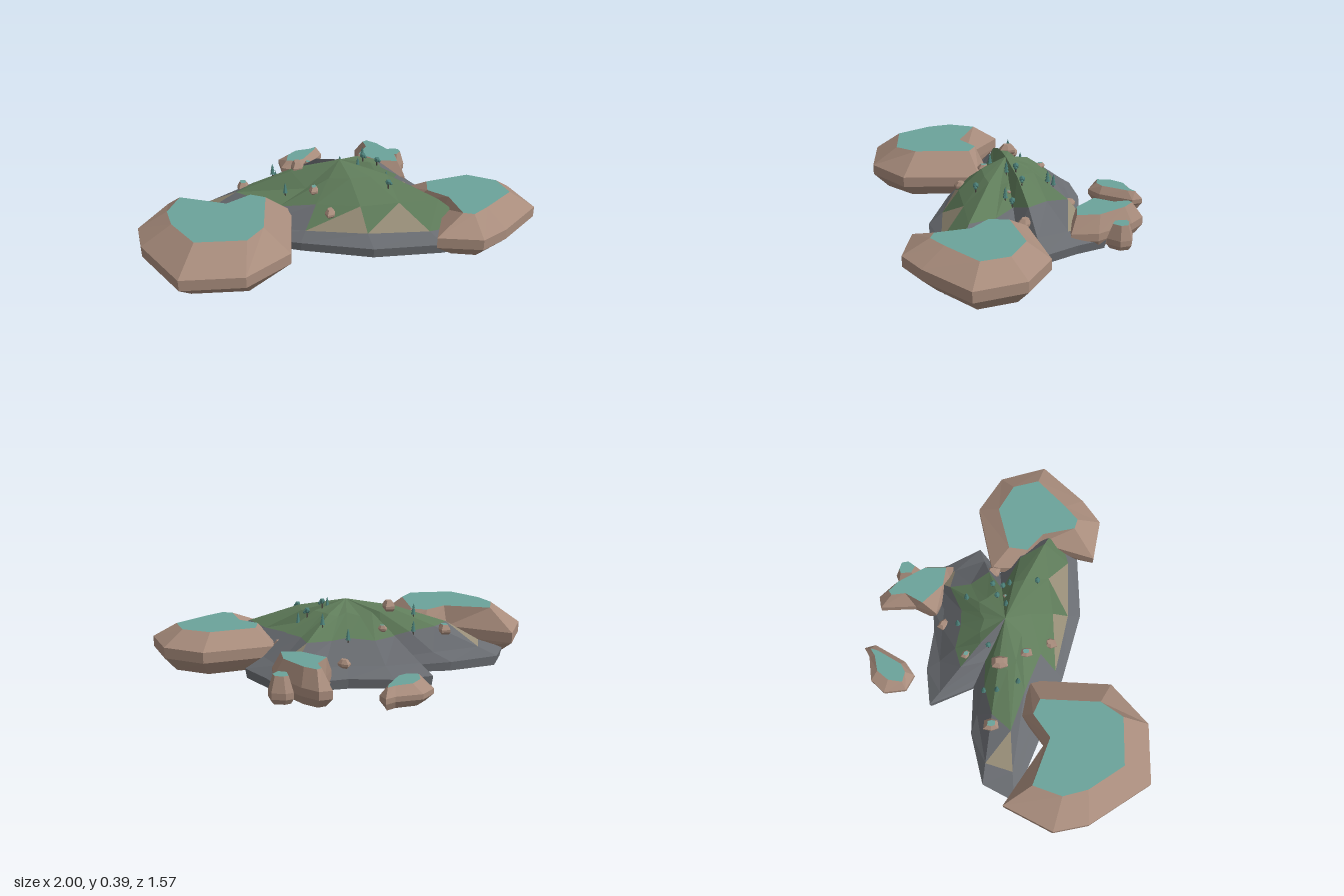
import * as THREE from 'three';

const material = (color) => new THREE.MeshStandardMaterial({ color, flatShading: true, roughness: 1 });
const MATS = {
  rock: material(0xa88c7c), pool: material(0x6ba39a), grass: material(0x5f7c5a), stone: material(0x6a6d72),
  sand: material(0x988e78), base: material(0x5a5d61), leaf: material(0x4a7d76), trunk: material(0x4a4540),
};

// Turns a list of corner vectors (three per face) into a flat shaded mesh
function facetMesh(name, corners, mat) {
  const g = new THREE.BufferGeometry().setFromPoints(corners);
  g.computeVertexNormals();
  const m = new THREE.Mesh(g, mat);
  m.name = name;
  return m;
}
const quad = (out, a, b, c, d) => out.push(a, b, c, a, c, d);

// Flat polygon cap over a ring that runs counter-clockwise seen from above
function cap(out, ring, up) {
  for (const f of THREE.ShapeUtils.triangulateShape(ring.map((p) => new THREE.Vector2(p.x, -p.z)), [])) {
    const [a, b, c] = f.map((i) => ring[i]);
    if (up) out.push(a, b, c); else out.push(a, c, b);
  }
}

// Bevelled boulder with a flat top: outer and inner outlines are [x, z] pairs
function boulder(name, outer, inner, [y0, y1, y2, y3], topMat) {
  if (THREE.ShapeUtils.area(outer.map(([x, y]) => ({ x, y }))) > 0) {
    outer = [...outer].reverse();
    inner = [...inner].reverse();
  }
  const ring = (t, y) => outer.map(([x, z], i) => new THREE.Vector3(
    x + (inner[i][0] - x) * t, y, z + (inner[i][1] - z) * t));
  const rings = [ring(0.6, y0), ring(0, y1), ring(0, y2), ring(1, y3)];
  const side = [], top = [], n = outer.length;
  for (let r = 0; r < 3; r++) for (let i = 0; i < n; i++) {
    const j = (i + 1) % n;
    quad(side, rings[r][i], rings[r][j], rings[r + 1][j], rings[r + 1][i]);
  }
  cap(side, rings[0], false);
  cap(top, rings[3], true);
  const g = new THREE.Group();
  g.name = name;
  g.add(facetMesh(name + 'Sides', side, MATS.rock), facetMesh(name + 'Top', top, topMat));
  return g;
}

// Hill rim: x, z and a height factor for valleys
const RIM = [
  [0.8, 0.17, 1], [0.7, -0.02, 0.95], [0.36, -0.14, 0.85], [0.48, -0.27, 1], [0.36, -0.43, 1], [0.28, -0.57, 1],
  [0.1, -0.47, 0.95], [-0.03, -0.44, 1], [-0.25, -0.44, 0.95], [-0.44, -0.39, 1], [-0.31, -0.18, 0.8],
  [-0.56, -0.15, 0.95], [-0.81, -0.05, 1], [-0.87, 0.12, 1], [-0.55, 0.2, 0.75], [-0.2, 0.28, 0.95],
  [0.17, 0.33, 1], [0.52, 0.27, 1],
];
const BANDS = [[0.3, 0.335], [0.6, 0.235], [0.85, 0.125], [1, 0.075], [0.985, 0.025]];

function hill() {
  const cx = -0.02, cz = -0.05, n = RIM.length;
  const apex = new THREE.Vector3(cx, 0.383, cz), under = new THREE.Vector3(cx, 0, cz);
  const rings = BANDS.map(([t, y], b) => RIM.map(([x, z, k], i) => {
    const wobble = b < 3 ? 0.025 * Math.sin(i * 2.4 + b * 1.9) : 0;
    const s = t + wobble;
    return new THREE.Vector3(cx + (x - cx) * s, b < 4 ? y * k : y, cz + (z - cz) * s);
  }));
  const parts = { grass: [], stone: [], sand: [], base: [] };
  for (let i = 0; i < n; i++) {
    const j = (i + 1) % n, ravine = i === 9;
    parts[ravine ? 'stone' : 'grass'].push(apex, rings[0][i], rings[0][j]);
    for (let b = 1; b < BANDS.length; b++) {
      const [a, c, d, e] = [rings[b][i], rings[b][j], rings[b - 1][j], rings[b - 1][i]];
      const green = !ravine && (b === 1 || (b === 2 && i > 14));
      const first = b === 2 && [4, 12, 15, 16].includes(i) ? 'sand' : green ? 'grass' : 'stone';
      parts[first].push(a, c, d);
      parts[green ? 'grass' : 'stone'].push(a, d, e);
    }
    parts.base.push(under, rings[4][j], rings[4][i]);
  }
  const g = new THREE.Group();
  g.name = 'hill';
  for (const [key, corners] of Object.entries(parts)) g.add(facetMesh('hill_' + key, corners, MATS[key]));
  return g;
}

function part(name, geometry, mat, y) {
  const m = new THREE.Mesh(geometry, mat);
  m.name = name;
  m.position.y = y;
  return m;
}

// Conifers have stacked cones, round trees a faceted crown
function tree(round) {
  const g = new THREE.Group();
  g.name = round ? 'roundTree' : 'conifer';
  g.add(part('trunk', new THREE.CylinderGeometry(0.003, 0.004, 0.04, 5), MATS.trunk, 0.012));
  if (round) {
    g.add(part('crown', new THREE.IcosahedronGeometry(0.016, 0), MATS.leaf, 0.038));
    const bough = part('sideCrown', new THREE.IcosahedronGeometry(0.009, 0), MATS.leaf, 0.029);
    bough.position.x = 0.013;
    g.add(bough);
  } else {
    [[0.014, 0.03, 0.03], [0.011, 0.027, 0.045], [0.008, 0.024, 0.06]].forEach(([r, h, y]) =>
      g.add(part('foliage', new THREE.ConeGeometry(r, h, 6), MATS.leaf, y)));
  }
  return g;
}

export function createModel() {
  const model = new THREE.Group();
  model.name = 'island';
  const land = hill();
  model.add(land);

  // Large terraces with pools
  model.add(boulder('frontTerrace',
    [[-0.91, 0.07], [-1, 0.33], [-0.94, 0.5], [-0.7, 0.78], [-0.4, 0.74], [-0.22, 0.53], [-0.26, 0.11], [-0.45, 0.1], [-0.58, 0.23]],
    [[-0.81, 0.2], [-0.84, 0.35], [-0.79, 0.47], [-0.65, 0.63], [-0.41, 0.6], [-0.35, 0.48], [-0.38, 0.18], [-0.46, 0.155], [-0.565, 0.255]],
    [0.035, 0.11, 0.165, 0.275], MATS.pool));
  model.add(boulder('sideTerrace',
    [[0.34, -0.18], [0.68, -0.305], [0.89, -0.21], [0.995, 0.02], [0.82, 0.26], [0.7, 0.37], [0.475, 0.36], [0.525, 0.06], [0.36, -0.04]],
    [[0.44, -0.1], [0.66, -0.19], [0.81, -0.13], [0.865, 0], [0.73, 0.17], [0.66, 0.245], [0.605, 0.235], [0.545, 0.07], [0.44, 0]],
    [0.035, 0.11, 0.165, 0.24], MATS.pool));
  // Smaller stacks behind the hill
  model.add(boulder('backStack',
    [[0.04, -0.74], [0.1, -0.76], [0.18, -0.7], [0.315, -0.53], [0.335, -0.395], [0.22, -0.38], [0.05, -0.44], [0.075, -0.555]],
    [[0.09, -0.68], [0.11, -0.7], [0.17, -0.66], [0.27, -0.535], [0.29, -0.42], [0.19, -0.42], [0.07, -0.51], [0.11, -0.61]],
    [0.035, 0.08, 0.12, 0.205], MATS.pool));
  model.add(boulder('backIslet',
    [[-0.415, -0.635], [-0.36, -0.715], [-0.235, -0.75], [-0.19, -0.785], [-0.165, -0.73], [-0.235, -0.555], [-0.3, -0.495], [-0.385, -0.525]],
    [[-0.355, -0.62], [-0.315, -0.685], [-0.235, -0.715], [-0.2, -0.745], [-0.205, -0.705], [-0.26, -0.57], [-0.3, -0.54], [-0.355, -0.545]],
    [0.035, 0.07, 0.095, 0.135], MATS.pool));
  const pillar = [[0.215, -0.68], [0.25, -0.7], [0.315, -0.69], [0.335, -0.635], [0.3, -0.57], [0.235, -0.59]];
  model.add(boulder('backPillar', pillar, pillar.map(([x, z]) => [0.275 + (x - 0.275) * 0.62, -0.64 + (z + 0.64) * 0.62]),
    [0.035, 0.06, 0.09, 0.165], MATS.pool));

  // Finds the ground height so that things stand on the slope
  land.updateMatrixWorld(true);
  const ray = new THREE.Raycaster();
  const place = (thing, x, z, sink) => {
    ray.set(new THREE.Vector3(x, 2, z), new THREE.Vector3(0, -1, 0));
    const hit = ray.intersectObject(land, true)[0];
    thing.position.set(x, (hit ? hit.point.y : 0.1) - sink, z);
    model.add(thing);
  };

  // Loose rocks on the slopes
  [[-0.01, -0.385, 0.036], [-0.2, -0.225, 0.028], [0.315, -0.17, 0.042], [-0.53, -0.045, 0.044],
    [-0.24, -0.045, 0.046], [-0.145, 0.075, 0.034], [-0.055, 0.19, 0.036], [0.15, -0.075, 0.014]].forEach(([x, z, r], k) => {
    const outer = [];
    for (let i = 0; i < 6; i++) {
      const a = i * Math.PI / 3 + k, s = r * (0.9 + 0.2 * Math.sin(i * 2.1 + k * 1.7));
      outer.push([Math.cos(a) * s, Math.sin(a) * s]);
    }
    const inner = outer.map(([px, pz]) => [px * 0.5, pz * 0.5]);
    place(boulder('looseRock', outer, inner, [-r * 0.3, 0, r * 0.3, r * 0.85], k % 2 ? MATS.pool : MATS.rock), x, z, 0.005);
  });

  // Trees: x, z, round or conifer
  [[-0.365, -0.11, 0], [-0.37, -0.04, 0], [-0.14, -0.12, 1], [-0.295, 0.055, 0], [-0.03, -0.3, 0], [0.095, -0.27, 0],
    [0.175, -0.145, 1], [0.215, -0.1, 1], [0.1, -0.11, 1], [0.075, -0.06, 0], [0.225, -0.065, 0], [0.235, 0.08, 1]]
    .forEach(([x, z, round]) => place(tree(round), x, z, 0.002));
  return model;
}
